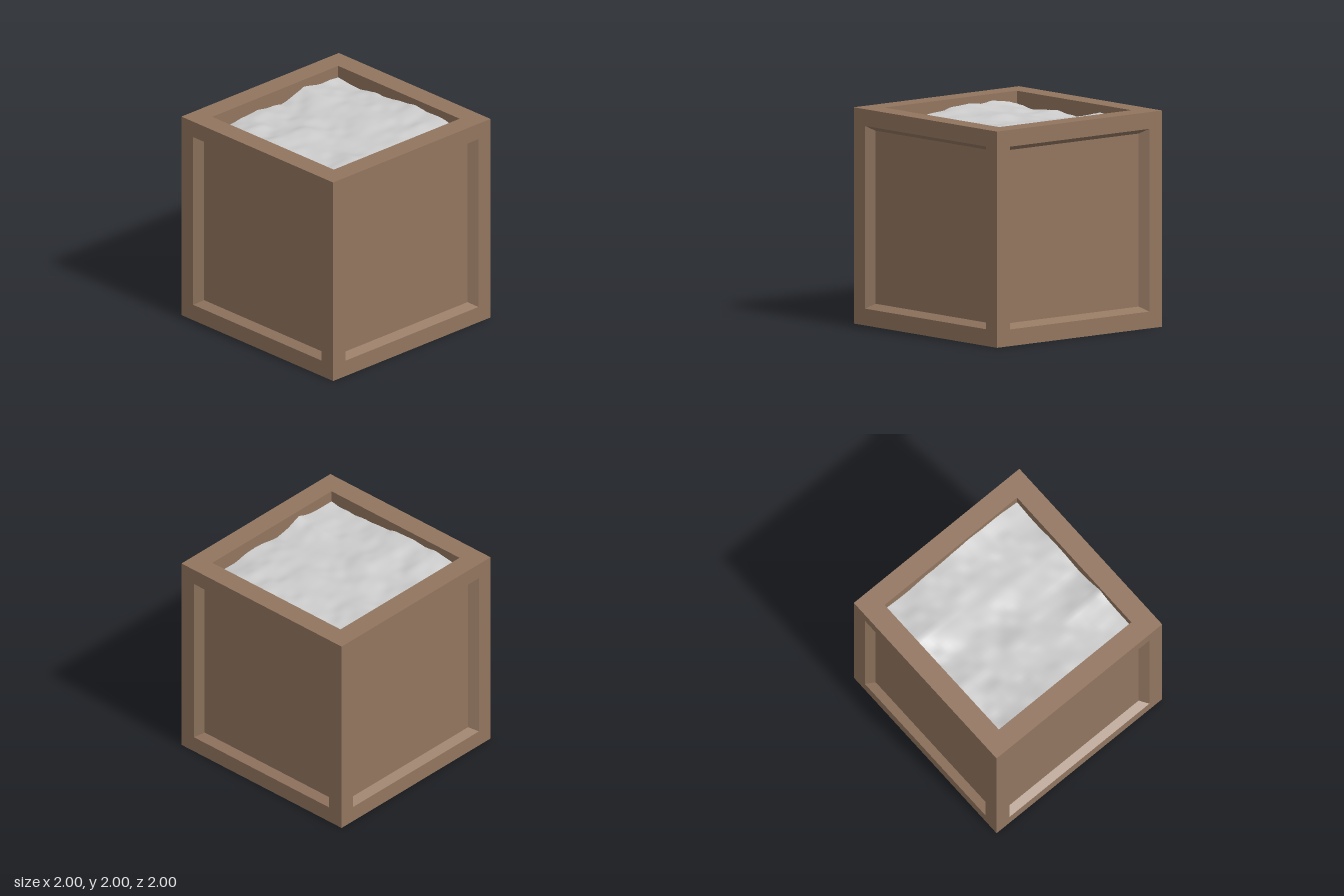
import * as THREE from 'three';

const wood = new THREE.MeshStandardMaterial({ color: 0x91755f, flatShading: true });
const soilMaterial = new THREE.MeshStandardMaterial({ color: 0xcccccc, side: THREE.DoubleSide });
const { lerp, smootherstep } = THREE.MathUtils;

// One cube face looking along +z, lofted through nested rectangles [halfX, halfY, z]
function recessedFace(name, rings, closed = true) {
  const pos = [];
  const corner = ([w, h, z], i) => [[-w, -h, z], [w, -h, z], [w, h, z], [-w, h, z]][i % 4];
  const quad = (a, b, c, d) => pos.push(...a, ...b, ...c, ...a, ...c, ...d);
  for (let r = 0; r < rings.length - 1; r++) {
    for (let i = 0; i < 4; i++) {
      quad(corner(rings[r], i), corner(rings[r], i + 1), corner(rings[r + 1], i + 1), corner(rings[r + 1], i));
    }
  }
  const last = rings[rings.length - 1];
  if (closed) quad(corner(last, 0), corner(last, 1), corner(last, 2), corner(last, 3));
  const geometry = new THREE.BufferGeometry();
  geometry.setAttribute('position', new THREE.Float32BufferAttribute(pos, 3));
  geometry.computeVertexNormals();
  const mesh = new THREE.Mesh(geometry, wood);
  mesh.name = name;
  return mesh;
}

// Smooth value noise in -1..1
function hash(i, j) {
  const s = Math.sin(i * 127.1 + j * 311.7 + 4.2) * 43758.5453;
  return (s - Math.floor(s)) * 2 - 1;
}
function noise(x, z) {
  const i = Math.floor(x), j = Math.floor(z);
  const u = smootherstep(x - i, 0, 1), v = smootherstep(z - j, 0, 1);
  return lerp(lerp(hash(i, j), hash(i + 1, j), u), lerp(hash(i, j + 1), hash(i + 1, j + 1), u), v);
}

// Soil height along the walls, relative to its mean level, sampled evenly from corner to corner
const alongX = [0, -0.03, -0.03, -0.01, 0, -0.02, -0.038, -0.01, 0.05, 0.015, 0, 0];
const alongZ = [0, 0.025, 0.045, 0.035, 0.05, 0.04, 0.02, 0.01, -0.005, -0.02, -0.015, 0];
function sample(list, t) {
  const s = t * (list.length - 1), i = Math.min(Math.floor(s), list.length - 2);
  return lerp(list[i], list[i + 1], s - i);
}

// Soil height at u, v in 0..1: wall profiles fading into gentle bumps
function soilHeight(u, v) {
  const fade = (d) => (1 - d) ** 4;
  const edges = fade(v) * sample(alongX, u) + fade(1 - v) * sample(alongX, 1 - u)
    + fade(u) * sample(alongZ, v) + fade(1 - u) * sample(alongZ, 1 - v);
  const inside = Math.min(1, 6 * Math.min(u, 1 - u, v, 1 - v));
  const bumps = inside * 0.018 * noise(u * 6, v * 7) + 0.008 * noise(u * 14 + 20, v * 16 + 7);
  return 1.887 + edges + bumps;
}

export function createModel() {
  const group = new THREE.Group();
  const box = new THREE.Group();
  box.name = 'planterBox';
  box.position.y = 1;
  group.add(box);

  // Four framed side panels with bevelled recesses
  ['frontPanel', 'leftPanel', 'backPanel', 'rightPanel'].forEach((name, k) => {
    const panel = recessedFace(name, [[1, 1, 1], [0.845, 0.845, 1], [0.78, 0.8, 0.925]]);
    panel.rotation.y = k * Math.PI / 2;
    box.add(panel);
  });

  // Underside, recessed with straight walls
  const bottom = recessedFace('bottomPanel', [[1, 1, 1], [0.845, 0.845, 1], [0.845, 0.845, 0.878]]);
  bottom.rotation.x = Math.PI / 2;
  box.add(bottom);

  // Open rim with straight inner walls that run below the soil
  const rim = recessedFace('topRim', [[1, 1, 1], [0.8, 0.8, 1], [0.8, 0.8, 0.8]], false);
  rim.rotation.x = -Math.PI / 2;
  box.add(rim);

  // Uneven soil surface
  const soilGeometry = new THREE.PlaneGeometry(1.6, 1.6, 44, 44).rotateX(-Math.PI / 2);
  const p = soilGeometry.attributes.position;
  for (let i = 0; i < p.count; i++) {
    const u = THREE.MathUtils.clamp(p.getX(i) / 1.6 + 0.5, 0, 1);
    const v = THREE.MathUtils.clamp(p.getZ(i) / 1.6 + 0.5, 0, 1);
    p.setY(i, soilHeight(u, v));
  }
  soilGeometry.computeVertexNormals();
  const soil = new THREE.Mesh(soilGeometry, soilMaterial);
  soil.name = 'soil';
  group.add(soil);

  return group;
}
